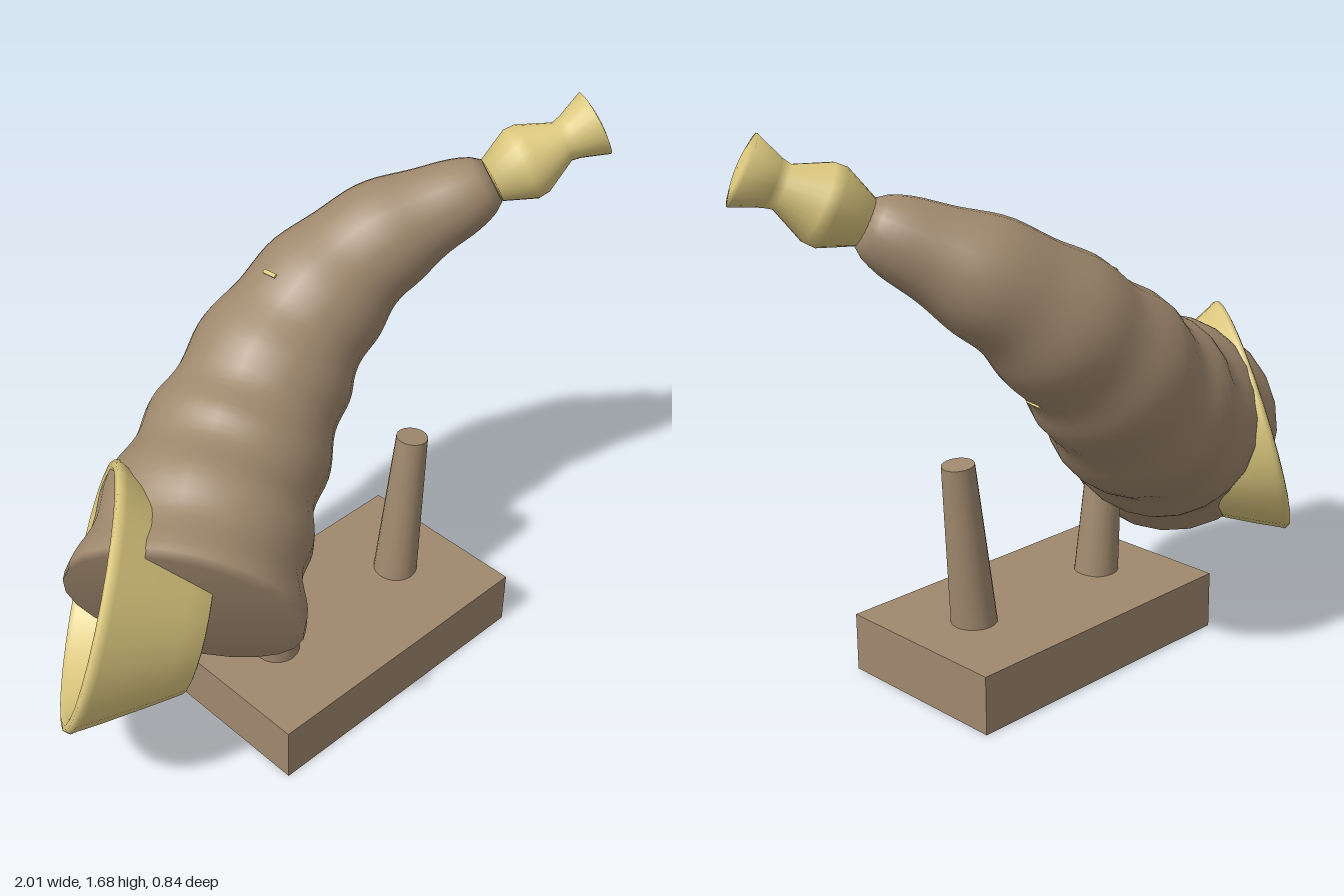
import * as THREE from 'three';
import { mergeVertices } from 'three/addons/utils/BufferGeometryUtils.js';

const V = (x, y, z) => new THREE.Vector3(x, y, z);
const UP = V(0, 1, 0);

export function createModel() {
  const model = new THREE.Group();
  const paint = (name, color) => {
    const m = new THREE.MeshStandardMaterial({ color });
    m.name = name;
    return m;
  };
  const brown = paint('horn brown', 0xa0896e);
  const brass = paint('pale brass', 0xdcc87f);

  const add = (name, geometry, material) => {
    const mesh = new THREE.Mesh(geometry, material);
    mesh.name = name;
    model.add(mesh);
    return mesh;
  };
  // Turn a part's y axis along a direction and place its origin
  const aim = (mesh, origin, direction) => {
    mesh.position.copy(origin);
    mesh.quaternion.setFromUnitVectors(UP, direction.clone().normalize());
    return mesh;
  };
  const lathe = (points, sides) =>
    new THREE.LatheGeometry(points.map(([r, y]) => new THREE.Vector2(r, y)), sides);

  // Curved horn: a tube tapered and ridged along its length;
  // the first and last rings shrink to a point to close the ends
  const path = new THREE.CatmullRomCurve3([
    V(-0.57, 0.575, 0.125), V(-0.37, 0.685, -0.005), V(-0.13, 0.82, -0.115),
    V(0.12, 1.03, -0.17), V(0.38, 1.245, -0.115), V(0.68, 1.44, 0.095),
  ]);
  const steps = 60, sides = 24;
  const radiusAt = (u) =>
    (0.068 + 0.27 * Math.pow(1 - u, 0.64)) * (1 + 0.038 * Math.cos((6.4 * u - 0.15) * Math.PI * 2) * (1 - 0.3 * u));
  const tube = new THREE.TubeGeometry(path, steps, 1, sides);
  const pos = tube.attributes.position;
  const p = V(0, 0, 0);
  for (let i = 0; i <= steps; i++) {
    const u = THREE.MathUtils.clamp((i - 1) / (steps - 2), 0, 1);
    const radius = i % steps === 0 ? 0 : radiusAt(u);
    const from = path.getPointAt(i / steps), to = path.getPointAt(u);
    for (let j = 0; j <= sides; j++) {
      const k = i * (sides + 1) + j;
      p.fromBufferAttribute(pos, k).sub(from).multiplyScalar(radius).add(to);
      pos.setXYZ(k, p.x, p.y, p.z);
    }
  }
  tube.deleteAttribute('uv');
  tube.deleteAttribute('normal');
  const horn = mergeVertices(tube, 1e-5);
  horn.computeVertexNormals();
  add('horn', horn, brown);

  // Thin brass pin whose ends just show above and below the horn
  const pinAt = 0.595;
  const pin = new THREE.BoxGeometry(0.012, 2 * radiusAt(pinAt) + 0.008, 0.05);
  aim(add('pin', pin, brass), path.getPointAt(pinAt), V(-0.59, 0.8, -0.1));

  // Flared bell: a hollow cone with a flat bottom and a rolled rim
  const bellAxis = V(-0.73, 0.28, -0.62).normalize();
  const bellBase = V(-0.745, 0.615, -0.07).addScaledVector(bellAxis, -0.305);
  const bell = lathe([
    [0, 0], [0.22, 0], [0.232, 0.004], [0.268, 0.07], [0.305, 0.14],
    [0.345, 0.215], [0.377, 0.28], [0.386, 0.295], [0.381, 0.309], [0.364, 0.313], [0.348, 0.3],
    [0.32, 0.215], [0.282, 0.14], [0.25, 0.07], [0.215, 0.02], [0, 0.015],
  ], 28);
  aim(add('bell', bell, brass), bellBase, bellAxis);

  // Mouthpiece at the narrow tip
  const mouthpiece = lathe([
    [0, 0], [0.068, 0], [0.112, 0.095], [0.11, 0.13], [0.062, 0.228], [0.068, 0.255],
    [0.1, 0.335], [0.06, 0.343], [0, 0.346],
  ], 24);
  aim(add('mouthpiece', mouthpiece, brass), V(0.68, 1.44, 0.095), V(0.265, 0.15, 0.155));

  // Display base
  add('base', new THREE.BoxGeometry(0.965, 0.18, 0.57), brown).position.set(0.0495, 0.09, 0.118);

  // Two tapered posts leaning outwards
  for (const side of [-1, 1]) {
    const foot = V(0.0495 + side * 0.2625, 0.175, 0.12);
    const lean = V(side * 0.05, 0.51, 0);
    const post = new THREE.CylinderGeometry(0.049, 0.07, lean.length(), 20);
    aim(add(side < 0 ? 'rightPost' : 'leftPost', post, brown),
      foot.addScaledVector(lean, 0.5), lean);
  }
  return model;
}
